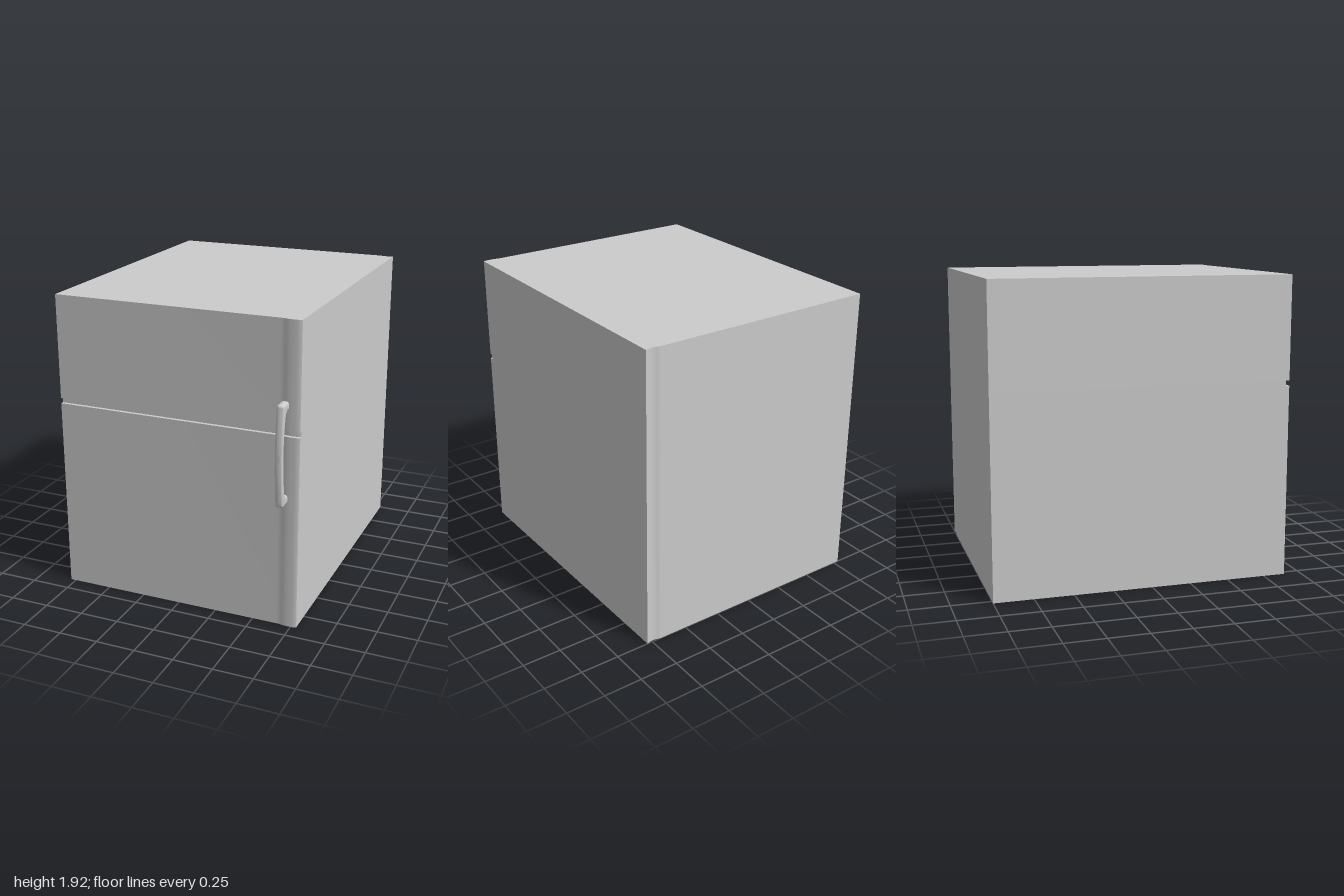
import * as THREE from 'three';
import { toCreasedNormals } from 'three/addons/utils/BufferGeometryUtils.js';

const material = new THREE.MeshStandardMaterial({ color: 0xcccccc });
const HALF_WIDTH = 0.785, BACK = -1, FRONT = 0.892;

function addMesh(group, name, geometry) {
  const mesh = new THREE.Mesh(toCreasedNormals(geometry, 0.6), material);
  mesh.name = name;
  group.add(mesh);
}

// Horizontal outline of the cabinet: a slight ripple runs down the handle side,
// swelling forward at the front and dipping in at the back.
function slab(front, y0, y1, bevel = 0) {
  const s = new THREE.Shape();
  s.moveTo(-HALF_WIDTH, -front);
  s.lineTo(0.65, -front);
  s.bezierCurveTo(0.69, -front, 0.69, -front - 0.008, 0.73, -front - 0.008);
  s.bezierCurveTo(0.76, -front - 0.008, 0.775, -front - 0.006, HALF_WIDTH, -front);
  s.lineTo(HALF_WIDTH, -BACK);
  s.bezierCurveTo(0.77, -BACK - 0.004, 0.76, -BACK - 0.009, 0.735, -BACK - 0.009);
  s.bezierCurveTo(0.71, -BACK - 0.009, 0.71, -BACK, 0.68, -BACK);
  s.lineTo(-HALF_WIDTH, -BACK);
  s.closePath();
  const g = new THREE.ExtrudeGeometry(s, { depth: y1 - y0, bevelEnabled: false, curveSegments: 8 });
  g.rotateX(-Math.PI / 2);
  g.translate(0, y0, 0);
  return g;
}

// Bow handle: side profile in (z, y), extruded across x with rounded edges
function handleGeometry() {
  const mid = 1.125, width = 0.048, round = 0.015;
  const s = new THREE.Shape();
  s.moveTo(0.875, 0.812);
  s.lineTo(0.965, 0.812);
  s.quadraticCurveTo(0.98, 0.812, 0.982, 0.835);
  s.quadraticCurveTo(1.018, mid, 0.982, 1.415);
  s.quadraticCurveTo(0.98, 1.438, 0.965, 1.438);
  s.lineTo(0.875, 1.438);
  s.lineTo(0.875, 1.386);
  s.lineTo(0.905, 1.386);
  s.quadraticCurveTo(0.94, 1.386, 0.946, 1.33);
  s.quadraticCurveTo(0.986, mid, 0.946, 0.92);
  s.quadraticCurveTo(0.94, 0.864, 0.905, 0.864);
  s.lineTo(0.875, 0.864);
  s.closePath();
  const g = new THREE.ExtrudeGeometry(s, {
    depth: width - 2 * round, curveSegments: 14,
    bevelThickness: round, bevelSize: round, bevelOffset: -round, bevelSegments: 5,
  });
  g.rotateY(-Math.PI / 2);
  g.translate(0.692 + width / 2 - round, 0, 0);
  return g;
}

export function createModel() {
  const group = new THREE.Group();
  group.name = 'refrigerator';

  // Two door sections with a recessed seam between them
  addMesh(group, 'lowerSection', slab(FRONT, 0, 1.226));
  addMesh(group, 'doorSeam', slab(0.87, 1.226, 1.26));
  addMesh(group, 'upperSection', slab(FRONT, 1.26, 1.917));

  addMesh(group, 'doorHandle', handleGeometry());
  return group;
}
